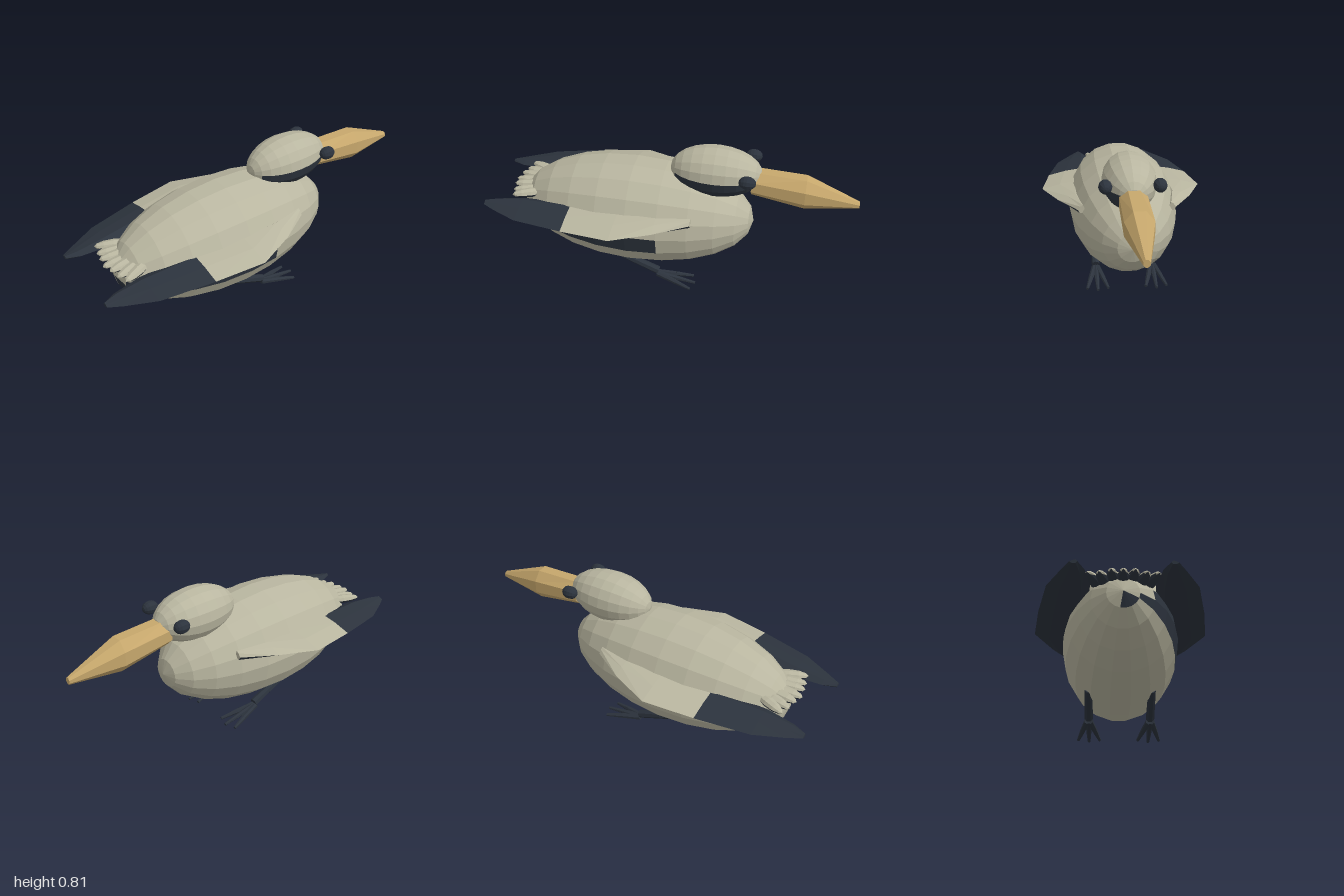
import * as THREE from 'three';

const mat = (name, color) => {
  const m = new THREE.MeshStandardMaterial({ color });
  m.name = name;
  return m;
};

export function createModel() {
  const plumage = mat('stone plumage', 0xb9b6a0);
  const dark = mat('slate dark', 0x2c333d);
  const horn = mat('horn bill', 0xc6a76c);
  const bird = new THREE.Group();
  bird.name = 'bird';

  const add = (name, geo, material, parent = bird) => {
    const g = geo.index ? geo.toNonIndexed() : geo;
    g.computeVertexNormals(); // unshared corners give flat facets
    const mesh = new THREE.Mesh(g, material);
    mesh.name = name;
    parent.add(mesh);
    return mesh;
  };

  // Sorts facets into two material groups: isDark(centroid, normal) picks the second
  const paint = (geo, isDark) => {
    const src = geo.index ? geo.toNonIndexed() : geo;
    const p = src.attributes.position, sets = [[], []];
    for (let i = 0; i < p.count; i += 3) {
      const t = [0, 1, 2].map(k => new THREE.Vector3().fromBufferAttribute(p, i + k));
      const tri = new THREE.Triangle(...t);
      const c = tri.getMidpoint(new THREE.Vector3()), n = tri.getNormal(new THREE.Vector3());
      t.forEach(v => sets[isDark(c, n) ? 1 : 0].push(v.x, v.y, v.z));
    }
    const out = new THREE.BufferGeometry();
    out.setAttribute('position', new THREE.Float32BufferAttribute(sets.flat(), 3));
    out.addGroup(0, sets[0].length / 3, 0);
    out.addGroup(sets[0].length / 3, sets[1].length / 3, 1);
    return out;
  };

  // Unit sphere with its poles along z
  const ball = (seg, rings) => new THREE.SphereGeometry(1, seg, rings).rotateX(Math.PI / 2);

  // Polar angle from +z and clockwise angle from the top, in degrees
  const angles = c => {
    const d = c.clone().normalize();
    return [THREE.MathUtils.radToDeg(Math.acos(d.z)),
      (THREE.MathUtils.radToDeg(Math.atan2(d.x, d.y)) + 360) % 360];
  };

  // Skin over counter-clockwise cross-sections of increasing z, with end caps
  const loft = sections => {
    const pos = [], n = sections[0].length;
    const tri = (...v) => v.forEach(q => pos.push(...q));
    for (let j = 0; j < n; j++) {
      const k = (j + 1) % n;
      for (let i = 0; i < sections.length - 1; i++) {
        const s = sections[i], e = sections[i + 1];
        tri(s[j], s[k], e[j]);
        tri(s[k], e[k], e[j]);
      }
      const first = sections[0], last = sections[sections.length - 1];
      if (j > 0 && k > 0) {
        tri(first[0], first[k], first[j]);
        tri(last[0], last[j], last[k]);
      }
    }
    const g = new THREE.BufferGeometry();
    g.setAttribute('position', new THREE.Float32BufferAttribute(pos, 3));
    return g;
  };

  // Body with the dark flank patch
  const body = paint(ball(18, 12), c => {
    const [th, a] = angles(c);
    return (a > 90 && a < 110 && th > 15 && th < 105) ||
      (a > 70 && a < 90 && th > 30 && th < 60) ||
      (th < 15 && a > 110 && a < 190);
  });
  body.scale(0.302, 0.302, 0.65).translate(0, 0.378, 0.19);
  add('body', body, [plumage, dark]);

  // Head with the dark cheek
  const head = paint(ball(16, 12), c => {
    const [th, a] = angles(c);
    return a > 90 && a < 180 && th > 30;
  });
  head.scale(0.141, 0.138, 0.245).translate(0, 0.672, -0.246);
  add('head', head, [plumage, dark]);

  // Bill: [z, centre y, half width, half height]
  const bill = [[-1, 0.565, 0.016, 0.018], [-0.72, 0.606, 0.072, 0.086], [-0.44, 0.636, 0.07, 0.068]];
  add('bill', loft(bill.map(([z, y, rx, ry]) => Array.from({ length: 8 }, (_, i) => {
    const a = (i + 0.5) * Math.PI / 4, k = 1 / Math.cos(Math.PI / 8);
    return [Math.cos(a) * rx * k, y + Math.sin(a) * ry * k, z];
  }))), horn);

  // Wing: [z, inner x, outer x, bottom y, top y]
  const wing = [
    [-0.155, 0.225, 0.262, 0.462, 0.508], [0.02, 0.235, 0.365, 0.452, 0.508],
    [0.23, 0.2, 0.45, 0.436, 0.502], [0.5, 0.17, 0.412, 0.425, 0.487],
    [0.78, 0.152, 0.355, 0.413, 0.465], [0.93, 0.175, 0.28, 0.413, 0.447],
    [1, 0.205, 0.24, 0.418, 0.437],
  ];
  const wingSections = wing.map(([z, xi, xo, yb, yt]) => {
    const at = (u, v) => [xi + (xo - xi) * u, yb + (yt - yb) * v, z];
    return [at(1, 0.4), at(0.6, 0.8), at(0.25, 1), at(0, 0.5), at(0.2, 0), at(0.7, 0)];
  });

  // Rod between two points
  const rod = (name, a, b, r0, r1, parent) => {
    const A = new THREE.Vector3(...a), B = new THREE.Vector3(...b), d = B.clone().sub(A);
    const m = add(name, new THREE.CylinderGeometry(r1, r0, d.length(), 7), dark, parent);
    m.position.copy(A).add(B).multiplyScalar(0.5);
    m.quaternion.setFromUnitVectors(new THREE.Vector3(0, 1, 0), d.normalize());
  };

  // Paired parts, built on +x and mirrored
  for (const [label, side] of [['left', 1], ['right', -1]]) {
    const half = new THREE.Group();
    half.name = label + 'Side';
    half.scale.x = side;
    bird.add(half);

    add(label + 'Wing', paint(loft(wingSections), (c, n) => c.z > 0.5 || n.y < -0.1), [plumage, dark], half);

    const eye = ball(10, 8).scale(0.035, 0.036, 0.045).translate(0.135, 0.706, -0.426);
    add(label + 'Eye', eye, dark, half);

    rod(label + 'Leg', [0.162, 0.145, 0.235], [0.162, 0.065, 0.035], 0.02, 0.023, half);
    for (const s of [-1, 0, 1]) {
      const knuckle = [0.162 + s * 0.033, 0.03, -0.06];
      const tip = [0.162 + s * 0.058, 0.011, -0.175 + Math.abs(s) * 0.02];
      rod(label + 'ToeBase', [0.162 + s * 0.008, 0.047, 0.04], knuckle, 0.016, 0.014, half);
      rod(label + 'ToeTip', knuckle, tip, 0.014, 0.008, half);
    }
  }

  // Tail: a fan of small flattened feathers with dark undersides
  for (let i = -3; i <= 3; i++) {
    const feather = paint(ball(8, 6), c => c.y < -0.15);
    feather.scale(0.032, 0.024, 0.1).translate(0, 0, 0.06).rotateY(i * 0.14);
    feather.translate(i * 0.034, 0.46 + (i % 2 ? 0.003 : -0.002), 0.735 - Math.abs(i) * 0.008);
    add('tailFeather', feather, [plumage, dark]);
  }

  return bird;
}
